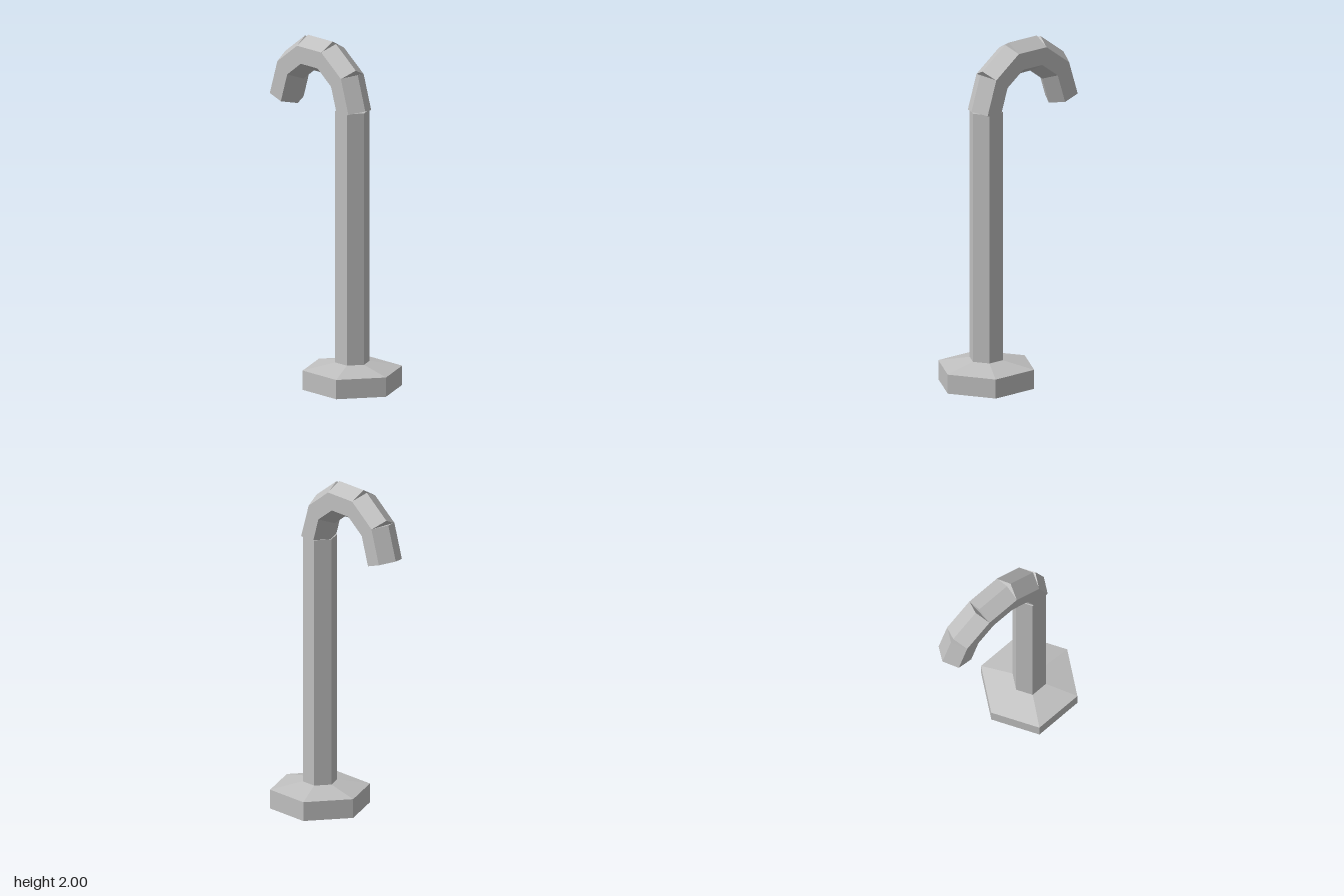
import * as THREE from 'three';

export function createModel() {
  const group = new THREE.Group();
  const grey = new THREE.MeshStandardMaterial({ color: 0xbfbfbf, flatShading: true });
  grey.name = 'grey';

  const SIDES = 6;
  const ROD = 0.097;      // rod radius, corners point along z
  const POST_Z = 0.18;

  const add = (name, geometry, y, z, tilt = 0) => {
    const mesh = new THREE.Mesh(geometry, grey);
    mesh.name = name;
    mesh.position.set(0, y, z);
    mesh.rotation.x = -tilt;
    group.add(mesh);
  };

  // Hexagonal foot with shallow cones above and below
  const profile = [[0, 0], [0.281, 0.057], [0.281, 0.167], [0, 0.224]]
    .map(([r, y]) => new THREE.Vector2(r, y));
  add('base', new THREE.LatheGeometry(profile, SIDES), 0, POST_Z);

  // Upright
  const bottom = 0.11, top = 1.64;
  add('post', new THREE.CylinderGeometry(ROD, ROD, top - bottom, SIDES), (bottom + top) / 2, POST_Z);

  // Hook: five straight pieces set around a half circle
  const centreY = 1.639, centreZ = -0.087, radius = 0.264, step = Math.PI / 5;
  for (let i = 0; i < 5; i++) {
    const a = (i + 0.5) * step;
    add('hookSegment' + (i + 1), new THREE.CylinderGeometry(ROD, ROD, 0.205, SIDES),
      centreY + radius * Math.sin(a), centreZ + radius * Math.cos(a), a);
  }

  return group;
}
